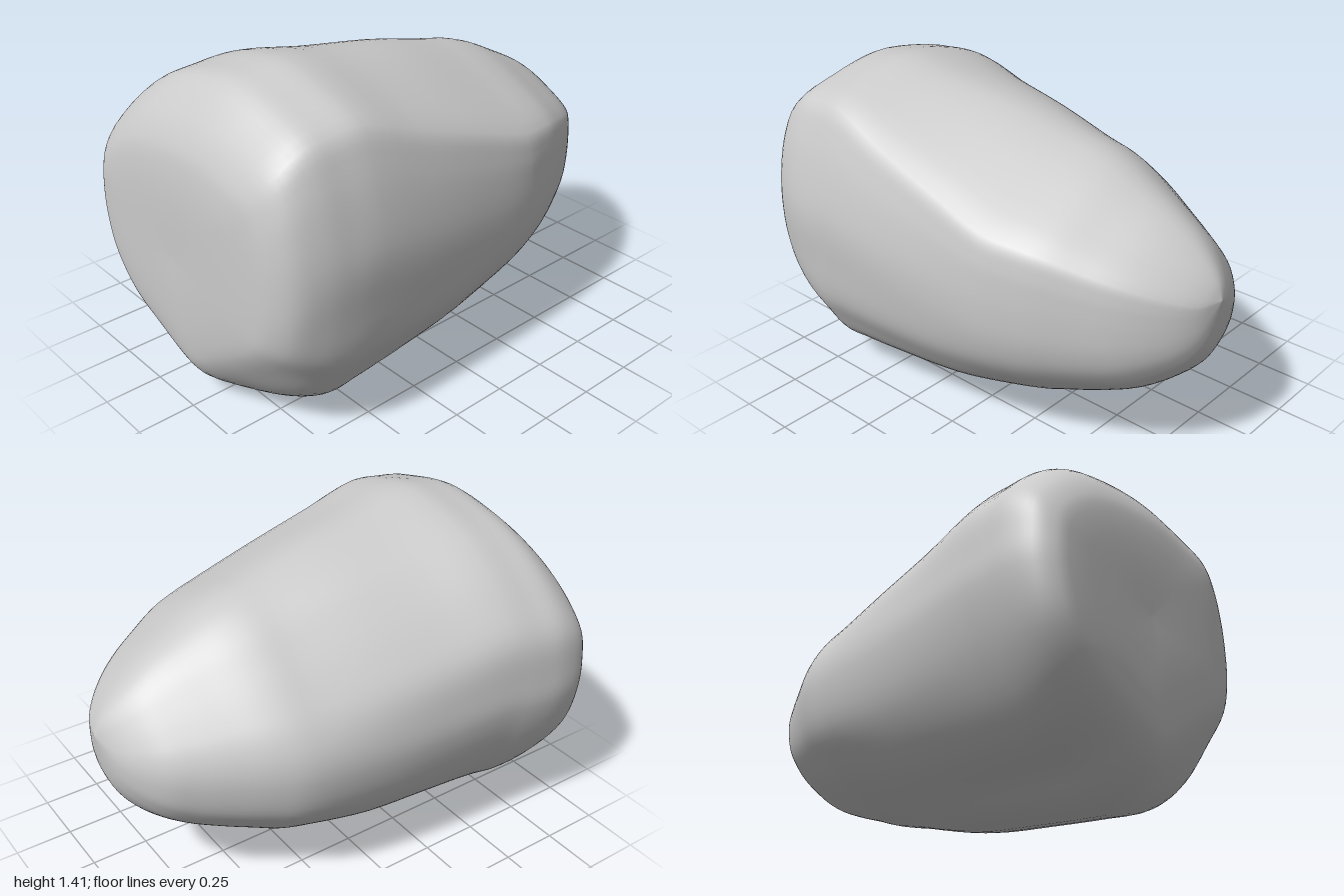
import * as THREE from 'three';
import { mergeVertices } from 'three/addons/utils/BufferGeometryUtils.js';

// Outline of the flat front face, counter-clockwise from +x (x, y)
const FACE = [[.55, .77], [.54, .9], [.51, 1.02], [.455, 1.105], [.29, 1.145], [.09, 1.17], [-.09, 1.155], [-.255, 1.12],
  [-.37, 1.075], [-.485, 1], [-.575, .9], [-.6, .78], [-.6, .66], [-.56, .49], [-.47, .36], [-.38, .29],
  [-.22, .22], [-.1, .17], [0, .15], [.18, .25], [.32, .34], [.42, .41], [.5, .49], [.54, .61]];

// Outline of the widest part, behind the face, matched point for point
const WIDE = [[.665, .82], [.64, 1], [.59, 1.18], [.53, 1.3], [.35, 1.37], [.13, 1.415], [-.08, 1.39], [-.27, 1.335],
  [-.4, 1.26], [-.53, 1.145], [-.64, 1], [-.665, .82], [-.665, .68], [-.6, .46], [-.48, .26], [-.38, .17],
  [-.2, .095], [-.11, .035], [0, 0], [.3, .07], [.48, .18], [.56, .3], [.62, .42], [.65, .62]];

// Outline near the back, with a steeper roof
const BACK = [[.615, .72], [.615, .84], [.608, .93], [.58, 1.02], [.36, 1.155], [.1, 1.26], [-.03, 1.26], [-.16, 1.2],
  [-.28, 1.1], [-.4, .98], [-.49, .87], [-.54, .76], [-.55, .64], [-.51, .47], [-.42, .35], [-.33, .27],
  [-.2, .2], [-.1, .16], [0, .15], [.25, .2], [.4, .27], [.49, .36], [.56, .46], [.6, .58]];

// Extents of each section: z, xMin, xMax, yMin, yMax
const SECTIONS = [
  [.997, -.06, -.05, .66, .67], [1, -.3, .2, .46, .9], [.99, -.55, .43, .26, 1.06], [.97, -.6, .52, .18, 1.15],
  [.91, -.65, .6, .1, 1.26], [.8, -.67, .645, .03, 1.37], [.68, -.66, .662, 0, 1.4], [.55, -.64, .667, .01, 1.415],
  [.3, -.61, .66, .035, 1.37], [0, -.58, .64, .07, 1.32], [-.27, -.545, .615, .145, 1.255],
  [-.4, -.515, .58, .18, 1.225], [-.5, -.47, .545, .22, 1.19], [-.62, -.4, .485, .265, 1.13],
  [-.75, -.32, .41, .325, 1.06], [-.85, -.25, .33, .4, .99], [-.93, -.15, .24, .49, .915],
  [-.975, -.06, .16, .59, .855], [-1, .055, .065, .785, .795]];

// Smooth an outline and fit it to the unit square
function unitOutline(points, count) {
  const curve = new THREE.CatmullRomCurve3(points.map(([x, y]) => new THREE.Vector3(x, y, 0)), true);
  const ring = Array.from({ length: count }, (_, i) => curve.getPoint(i / count));
  const box = new THREE.Box3().setFromPoints(ring);
  const size = box.getSize(new THREE.Vector3());
  return ring.map(p => new THREE.Vector2((p.x - box.min.x) / size.x, (p.y - box.min.y) / size.y));
}

function boulderGeometry() {
  const columns = 96, steps = (SECTIONS.length - 1) * 4;
  const [face, wide, back] = [FACE, WIDE, BACK].map(points => unitOutline(points, columns));
  const positions = [], indices = [];

  // One lengthwise spline per outline point, blending face to wide to back
  for (let j = 0; j < columns; j++) {
    const rail = new THREE.CatmullRomCurve3(SECTIONS.map(([z, x0, x1, y0, y1]) => {
      const p = wide[j].clone()
        .lerp(face[j], THREE.MathUtils.clamp((z - .75) / .2, 0, 1))
        .lerp(back[j], THREE.MathUtils.clamp((.6 - z) / .9, 0, 1));
      return new THREE.Vector3(x0 + p.x * (x1 - x0), y0 + p.y * (y1 - y0), z);
    }));
    for (let i = 0; i <= steps; i++) {
      const p = rail.getPoint(i / steps);
      positions.push(p.x, Math.max(0, p.y), THREE.MathUtils.clamp(p.z, -1, 1));
    }
  }

  // Skin between neighbouring rails
  const at = (i, j) => (j % columns) * (steps + 1) + i;
  for (let j = 0; j < columns; j++) {
    for (let i = 0; i < steps; i++) {
      const a = at(i, j), b = at(i, j + 1), c = at(i + 1, j), d = at(i + 1, j + 1);
      indices.push(a, c, b, b, c, d);
    }
  }
  // Close both tiny end rings
  for (let j = 1; j < columns - 1; j++) {
    indices.push(at(0, 0), at(0, j), at(0, j + 1));
    indices.push(at(steps, 0), at(steps, j + 1), at(steps, j));
  }

  let geometry = new THREE.BufferGeometry();
  geometry.setAttribute('position', new THREE.Float32BufferAttribute(positions, 3));
  geometry.setIndex(indices);
  geometry = mergeVertices(geometry, 1e-5);
  geometry.computeVertexNormals();
  return geometry;
}

export function createModel() {
  const group = new THREE.Group();
  group.name = 'rock';
  const boulder = new THREE.Mesh(boulderGeometry(), new THREE.MeshStandardMaterial({ color: 0xcccccc }));
  boulder.name = 'boulder';
  group.add(boulder);
  return group;
}
